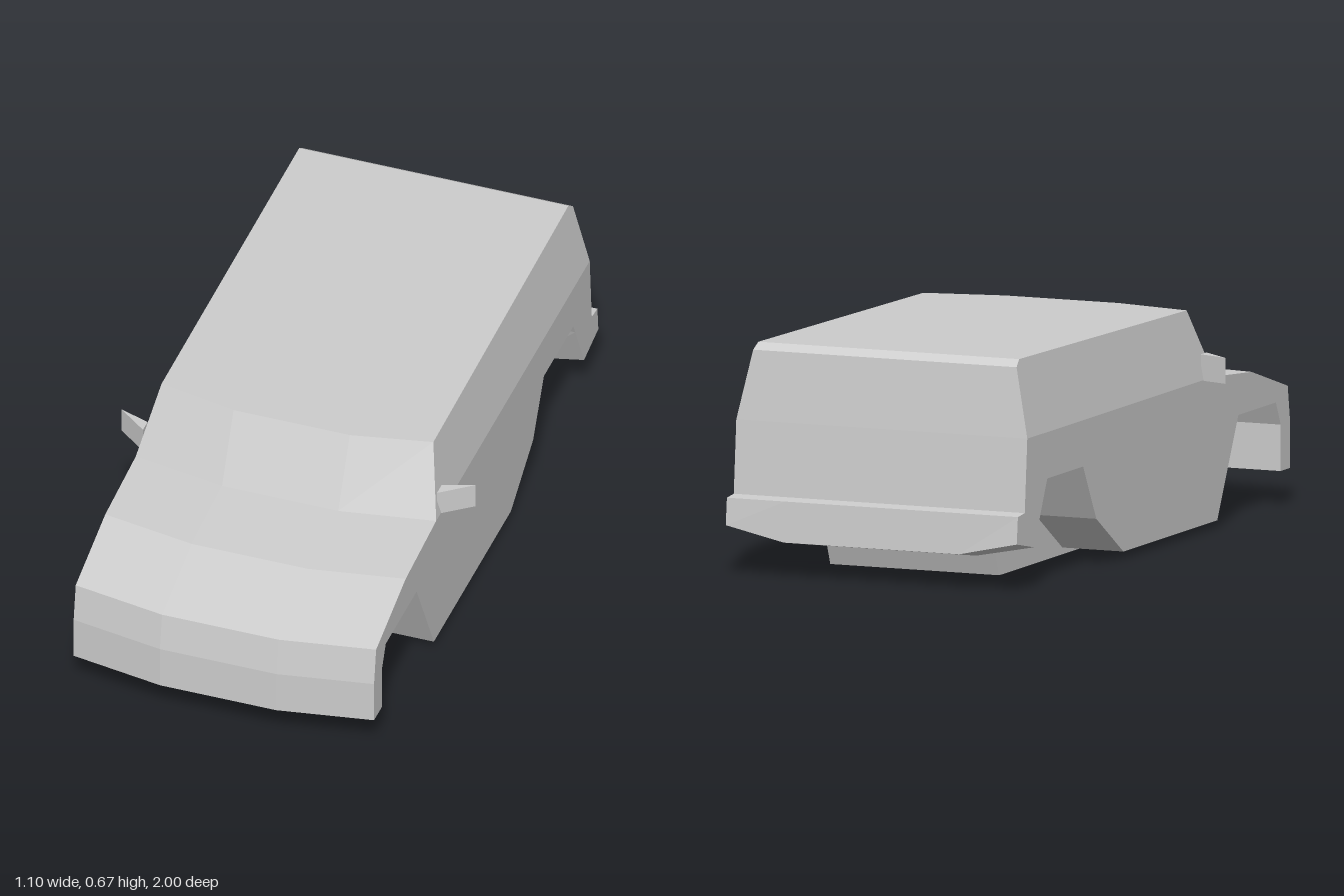
import * as THREE from 'three';

const HALF = 0.465;   // half width of the body below the belt line
const BELT = 0.447;

// Closed side outline, from the front lip over the roof and back under the arches:
// [z, y, forward bow at the middle, drop at the middle]
const OUTLINE = [
  [0.95, 0.103, 0.05, 0], [0.95, 0.235, 0.05, 0], [0.932, 0.348, 0.05, 0],   // nose
  [0.675, 0.424, 0.05, 0], [0.41, BELT, 0.05, 0],                            // hood
  [0.31, 0.653, 0.05, 0], [-0.875, 0.672, 0, 0], [-0.903, 0.652, 0, 0],      // windshield, roof
  [-0.925, BELT, 0, 0], [-0.943, 0.23, 0, 0],                                // tailgate
  [-0.992, 0.225, 0, 0], [-1, 0.145, 0, -0.04], [-0.876, 0.12, 0, -0.036],   // rear bumper
  [-0.8, 0.275, 0, 0], [-0.782, 0.31, 0, 0], [-0.527, 0.31, 0, 0],           // rear arch
  [-0.433, 0.143, 0, 0], [-0.24, 0.02, 0, 0], [0.43, 0.02, 0, 0],            // sill
  [0.58, 0.31, 0, 0], [0.848, 0.31, 0, 0], [0.882, 0.24, 0, 0], [0.882, 0.103, 0, 0], // front arch
];

// The cabin leans inward above the belt line
const halfWidth = (y) => HALF - Math.max(0, y - BELT) * 0.215;

// Four points across the body for one outline point
function row([z, y, bow, drop]) {
  const w = halfWidth(y), inner = bow ? 0.18 : 0.28;
  return [[-w, y, z], [-inner, y + drop, z + bow], [inner, y + drop, z + bow], [w, y, z]];
}

function facesToGeometry(triangles) {
  const g = new THREE.BufferGeometry();
  g.setAttribute('position', new THREE.Float32BufferAttribute(triangles.flat(2), 3));
  g.computeVertexNormals();
  return g;
}

// Skin running around the outline, across the full width
function skinGeometry() {
  const rows = OUTLINE.map(row), tris = [];
  rows.forEach((a, i) => {
    const b = rows[(i + 1) % rows.length];
    for (let c = 0; c < 3; c++) {
      tris.push([a[c], a[c + 1], b[c + 1]], [a[c], b[c + 1], b[c]]);
    }
  });
  return facesToGeometry(tris);
}

// One flat panel of a body side
function panelGeometry(points, side) {
  const contour = points.map(([z, y]) => new THREE.Vector2(z, y));
  const corners = points.map(([z, y]) => [side * halfWidth(y), y, z]);
  const tris = THREE.ShapeUtils.triangulateShape(contour, []).map(([a, b, c]) =>
    side < 0 ? [corners[a], corners[b], corners[c]] : [corners[a], corners[c], corners[b]]);
  return facesToGeometry(tris);
}

function polygon(points) {
  return new THREE.Shape(points.map(([x, y]) => new THREE.Vector2(x, y)));
}

export function createModel() {
  const paint = new THREE.MeshStandardMaterial({ color: 0xcccccc });
  paint.name = 'bodyGrey';
  const model = new THREE.Group();
  model.name = 'vanBody';
  const add = (name, geometry) => {
    const mesh = new THREE.Mesh(geometry, paint);
    mesh.name = name;
    model.add(mesh);
  };

  add('bodySkin', skinGeometry());

  // Side panels, split at the belt line
  const upper = OUTLINE.filter(([, y]) => y >= BELT);
  const lower = OUTLINE.filter(([, y]) => y <= BELT);
  for (const [label, side] of [['left', 1], ['right', -1]]) {
    add(label + 'CabinSide', panelGeometry(upper, side));
    add(label + 'LowerSide', panelGeometry(lower, side));

    // Wedge-shaped door mirror
    const wedge = polygon([[0.455, -0.375], [0.548, -0.302], [0.455, -0.335]].map(([x, y]) => [side * x, y]));
    const mirror = new THREE.ExtrudeGeometry(wedge, { depth: 0.077, bevelEnabled: false });
    mirror.rotateX(-Math.PI / 2).translate(0, 0.445, 0);
    add(label + 'Mirror', mirror);
  }

  // Narrow chassis tub between the wheel arches
  const tub = polygon([[-0.69, 0], [0.78, 0], [0.881, 0.24], [0.84, 0.33], [-0.77, 0.33], [-0.8, 0.28]]);
  const chassis = new THREE.ExtrudeGeometry(tub, { depth: 0.54, bevelEnabled: false });
  chassis.rotateY(-Math.PI / 2).translate(0.27, 0, 0);
  add('chassis', chassis);

  return model;
}
